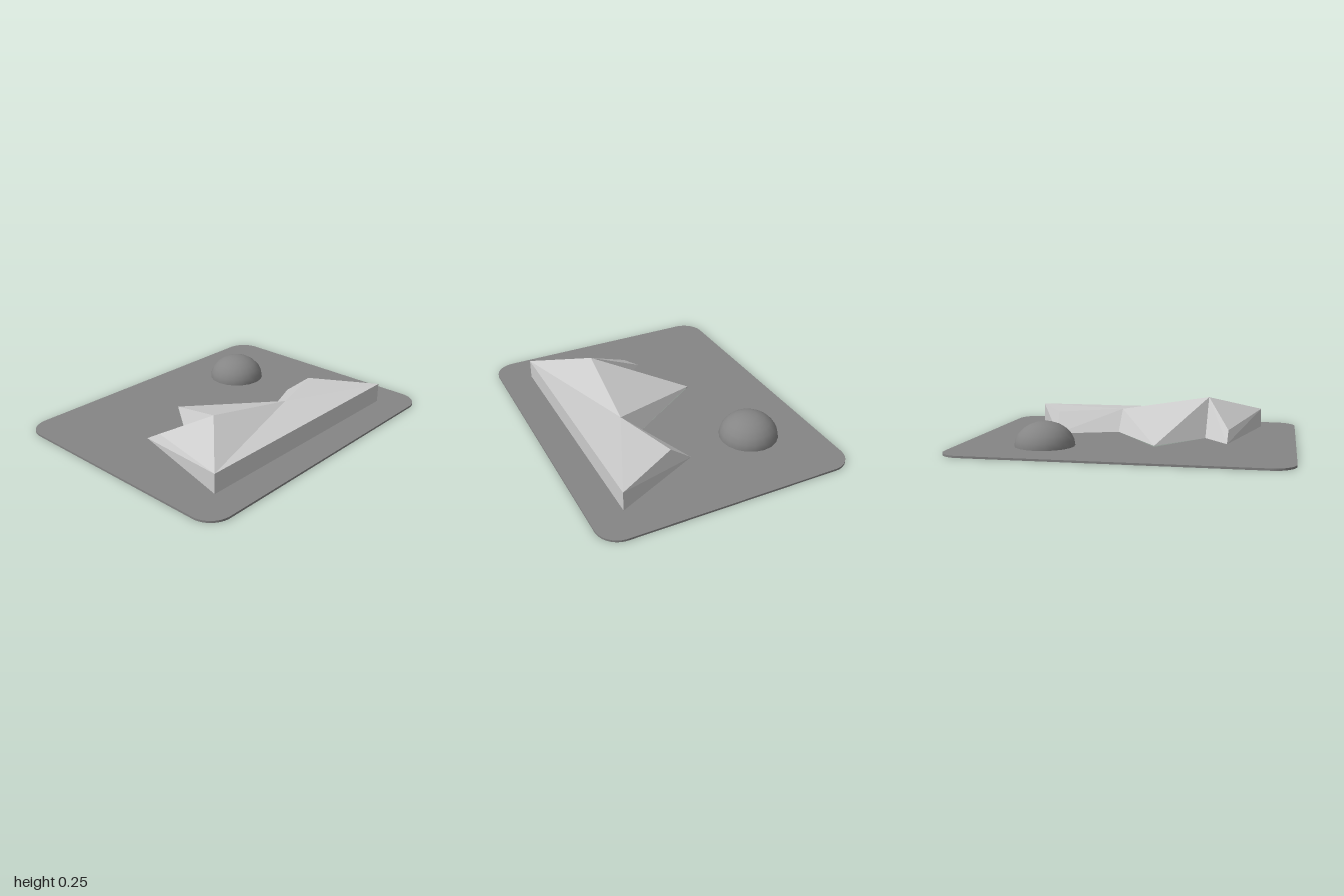
import * as THREE from 'three';

const T = 0.012; // plate thickness

// Corners of the folded relief: ground points (lower case) and raised points
const P = {
  a: [-0.77, T, 0.59], b: [0.79, T, 0.59], s: [0.53, T, 0.04], t: [0.15, T, 0.18],
  n: [-0.17, 0.018, -0.31], v: [-0.44, T, 0.05], m: [-0.59, T, -0.14],
  A: [-0.77, 0.135, 0.59], B: [0.79, 0.135, 0.59], R: [0.56, 0.135, 0.19],
  Q: [0.15, 0.148, 0.32], S: [-0.44, 0.247, 0.27], M: [-0.59, 0.08, -0.03],
};
// Each facet lists its corners counter-clockwise from outside
const FACETS = ['abBA', 'ABQ', 'BRQ', 'AQS', 'SQn', 'ASM', 'QRst', 'Qtn', 'Snv', 'SvmM', 'AMm', 'Ama', 'BbsR'];

function facetGeometry() {
  const pos = [];
  for (const f of FACETS)
    for (let i = 1; i < f.length - 1; i++) pos.push(...P[f[0]], ...P[f[i]], ...P[f[i + 1]]);
  const g = new THREE.BufferGeometry();
  g.setAttribute('position', new THREE.Float32BufferAttribute(pos, 3));
  g.computeVertexNormals();
  return g;
}

// Rounded plate with the relief's footprint cut out
function plateGeometry() {
  const w = 1, d = 0.79, r = 0.135;
  const shape = new THREE.Shape();
  shape.absarc(w - r, d - r, r, 0, Math.PI / 2);
  shape.absarc(-w + r, d - r, r, Math.PI / 2, Math.PI);
  shape.absarc(-w + r, -d + r, r, Math.PI, Math.PI * 1.5);
  shape.absarc(w - r, -d + r, r, Math.PI * 1.5, Math.PI * 2);
  shape.closePath();
  shape.holes.push(new THREE.Path([...'abstnvm'].map((k) => new THREE.Vector2(P[k][0], -P[k][2]))));
  return new THREE.ExtrudeGeometry(shape, { depth: T, bevelEnabled: false, curveSegments: 8 }).rotateX(-Math.PI / 2);
}

export function createModel() {
  const group = new THREE.Group();
  const add = (name, geometry, material) => {
    const mesh = new THREE.Mesh(geometry, material);
    mesh.name = name;
    group.add(mesh);
    return mesh;
  };
  const dark = new THREE.MeshStandardMaterial({ color: 0x858585 });
  const light = new THREE.MeshStandardMaterial({ color: 0xcccccc, flatShading: true, side: THREE.DoubleSide });

  add('plate', plateGeometry(), dark);
  add('mountains', facetGeometry(), light);

  // Sun: a dome resting on the plate
  const dome = new THREE.SphereGeometry(0.182, 20, 6, 0, Math.PI * 2, 0, Math.PI / 2);
  dome.scale(1, 0.148 / 0.182, 1);
  add('sun', dome, dark).position.set(0.48, T, -0.385);

  return group;
}
